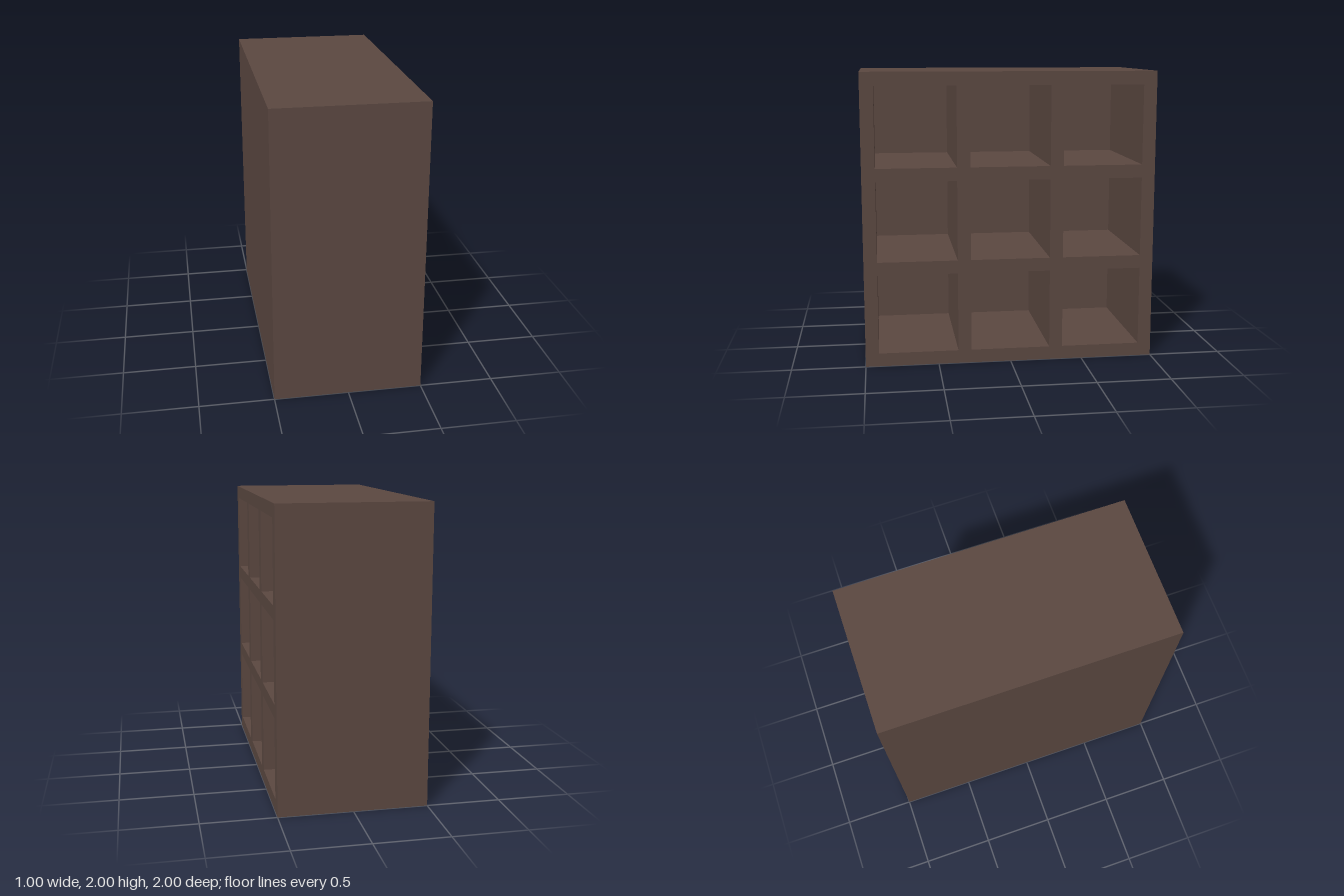
import * as THREE from 'three';

const HEIGHT = 2, DEPTH = 1, CELLS = 3;
const WALL = 1 / 11;
const CELL = (HEIGHT - WALL * (CELLS + 1)) / CELLS;

// Rectangular outline from its lower corner, on a shape or a hole path
function rectangle(path, x, y, w, h) {
  path.moveTo(x, y);
  path.lineTo(x + w, y);
  path.lineTo(x + w, y + h);
  path.lineTo(x, y + h);
  path.closePath();
  return path;
}

export function createModel() {
  const group = new THREE.Group();
  group.name = 'cubeShelf';
  const wood = new THREE.MeshStandardMaterial({ color: 0x5a4740 });

  // Outer frame and dividers: one slab pierced by a grid of compartments
  const outline = rectangle(new THREE.Shape(), -HEIGHT / 2, 0, HEIGHT, HEIGHT);
  for (let row = 0; row < CELLS; row++) {
    for (let col = 0; col < CELLS; col++) {
      const x = -HEIGHT / 2 + WALL + col * (CELL + WALL);
      const y = WALL + row * (CELL + WALL);
      outline.holes.push(rectangle(new THREE.Path(), x, y, CELL, CELL));
    }
  }
  const frameGeometry = new THREE.ExtrudeGeometry(outline, { depth: DEPTH - WALL, bevelEnabled: false });
  frameGeometry.rotateY(Math.PI / 2); // openings face +x
  frameGeometry.translate(-DEPTH / 2 + WALL, 0, 0);
  const frame = new THREE.Mesh(frameGeometry, wood);
  frame.name = 'shelfFrame';
  group.add(frame);

  // Panel closing the compartments at -x
  const back = new THREE.Mesh(new THREE.BoxGeometry(WALL, HEIGHT, HEIGHT), wood);
  back.name = 'backPanel';
  back.position.set(-DEPTH / 2 + WALL / 2, HEIGHT / 2, 0);
  group.add(back);

  return group;
}
